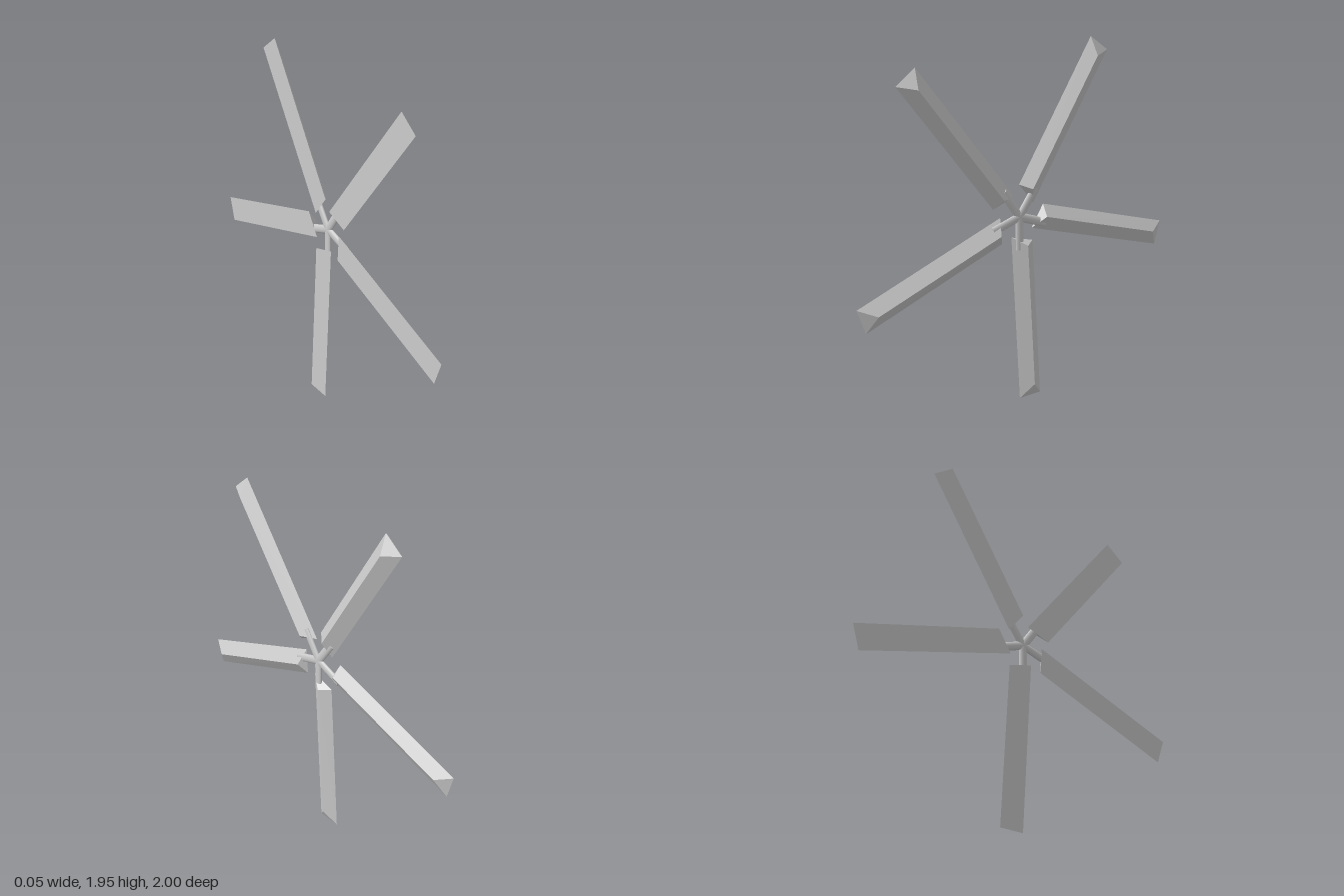
import * as THREE from 'three';

const COUNT = 5;
const HALF_DEPTH = 0.0225;

// Blade pointing down from the hub: flat back, ridged front with sloping ends
function bladeGeometry() {
  const b = -HALF_DEPTH, f = HALF_DEPTH;
  const corners = [
    0.0105, -1.033, b, // 0 tip left
    0.15, -1.028, b,   // 1 tip right
    0.0955, -0.143, b, // 2 root right
    -0.0445, -0.108, b, // 3 root left
    0.08, -0.953, f,   // 4 ridge at tip
    0.033, -0.157, f,  // 5 ridge at root
  ];
  const geometry = new THREE.BufferGeometry();
  geometry.setAttribute('position', new THREE.Float32BufferAttribute(corners, 3));
  geometry.setIndex([
    0, 3, 2, 0, 2, 1, // flat back
    1, 2, 5, 1, 5, 4, // right slope
    3, 0, 4, 3, 4, 5, // left slope
    0, 1, 4,          // tip
    2, 3, 5,          // root
  ]);
  const flat = geometry.toNonIndexed();
  flat.computeVertexNormals();
  return flat;
}

// Slim flattened rod running down from the hub into the blade root
function spokeGeometry() {
  const length = 0.18;
  const geometry = new THREE.CylinderGeometry(0.024, 0.024, length, 12);
  geometry.scale(1, 1, 0.5);
  geometry.translate(0, -length / 2, -0.0105);
  return geometry;
}

export function createModel() {
  const model = new THREE.Group();
  model.name = 'bladedRotor';
  const material = new THREE.MeshStandardMaterial({ color: 0xcccccc });
  const flatMaterial = new THREE.MeshStandardMaterial({ color: 0xcccccc, flatShading: true });
  const blade = bladeGeometry();
  const spoke = spokeGeometry();

  // Rotor is laid out facing +z, then turned to face +x
  const rotor = new THREE.Group();
  rotor.name = 'rotor';
  rotor.position.set(0, 1.033, 0.0255);
  rotor.rotation.y = Math.PI / 2;
  model.add(rotor);

  for (let i = 0; i < COUNT; i++) {
    const arm = new THREE.Group();
    arm.name = `arm${i + 1}`;
    arm.rotation.z = (i * Math.PI * 2) / COUNT;
    const bladeMesh = new THREE.Mesh(blade, flatMaterial);
    bladeMesh.name = 'blade';
    const spokeMesh = new THREE.Mesh(spoke, material);
    spokeMesh.name = 'spoke';
    arm.add(bladeMesh, spokeMesh);
    rotor.add(arm);
  }
  return model;
}
